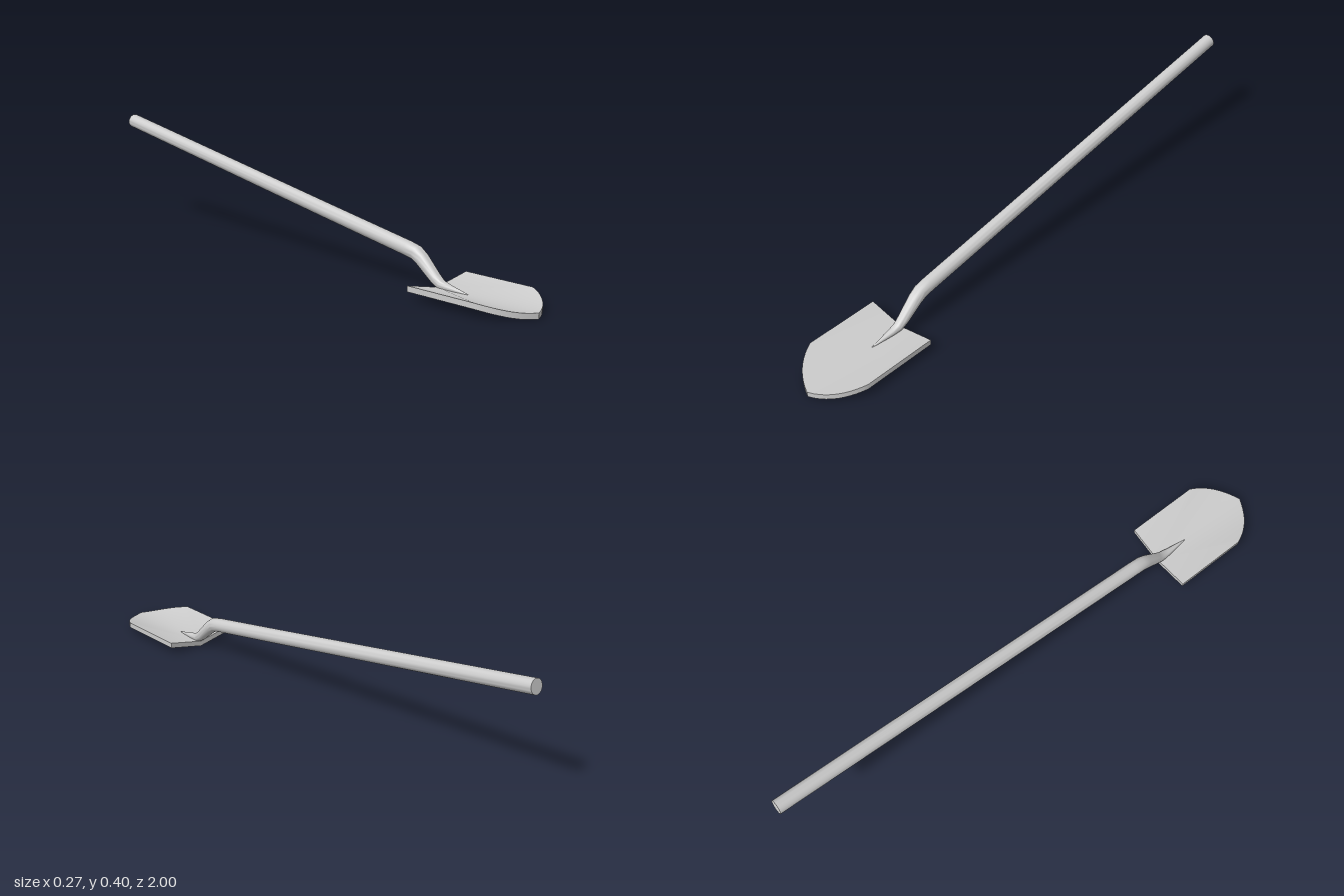
import * as THREE from 'three';
import { toCreasedNormals } from 'three/addons/utils/BufferGeometryUtils.js';

const material = new THREE.MeshStandardMaterial({ color: 0xcccccc });

function makeGeometry(positions, index) {
  const g = new THREE.BufferGeometry();
  g.setAttribute('position', new THREE.Float32BufferAttribute(positions, 3));
  g.setIndex(index);
  return toCreasedNormals(g, 0.7);
}

// Dished plate: a fan from the middle of the back edge, with y rising as x squared
function bladeGeometry() {
  const W = 0.135, thick = 0.019, back = 0.605, shoulder = 0.87;
  const arc = new THREE.QuadraticBezierCurve(
    new THREE.Vector2(W, shoulder), new THREE.Vector2(0.1, 0.96), new THREE.Vector2(0, 1)).getPoints(10);
  const right = [new THREE.Vector2(W, back), ...arc];
  const left = right.slice(0, -1).map(p => new THREE.Vector2(-p.x, p.y));
  const outline = [new THREE.Vector2(0, back), ...left, ...right.reverse()];
  const n = outline.length, pos = [], idx = [];
  for (const lift of [thick, 0])
    for (const p of outline) pos.push(p.x, 0.028 * (p.x / W) ** 2 + lift, p.y);
  for (let i = 0; i < n; i++) {
    const j = (i + 1) % n;
    if (i > 0 && j > 0) idx.push(0, i, j, n, n + j, n + i); // top and underside
    idx.push(i, n + i, j, j, n + i, n + j);                 // rim
  }
  return makeGeometry(pos, idx);
}

// Round sections lofted along stations [z, y, radius]
function loftGeometry(stations, sides = 24) {
  const pos = [], idx = [];
  stations.forEach(([z, y, r], i) => {
    const a = stations[Math.max(i - 1, 0)], b = stations[Math.min(i + 1, stations.length - 1)];
    const here = new THREE.Vector2(z, y);
    const t = new THREE.Vector2();
    for (const [p, q] of [[new THREE.Vector2(a[0], a[1]), here], [here, new THREE.Vector2(b[0], b[1])]])
      t.add(q.clone().sub(p).normalize());
    t.normalize();
    for (let j = 0; j < sides; j++) {
      const ang = j / sides * Math.PI * 2, s = Math.sin(ang) * r;
      pos.push(Math.cos(ang) * r, y + t.x * s, z - t.y * s);
    }
  });
  for (let i = 0; i < stations.length - 1; i++)
    for (let j = 0; j < sides; j++) {
      const k = (j + 1) % sides, a = i * sides, b = a + sides;
      idx.push(a + j, a + k, b + j, b + j, a + k, b + k);
    }
  // flat cap on the grip end
  for (let j = 1; j < sides - 1; j++) idx.push(0, j + 1, j);
  return makeGeometry(pos, idx);
}

export function createModel() {
  const group = new THREE.Group();
  group.name = 'shovel';

  const blade = new THREE.Mesh(bladeGeometry(), material);
  blade.name = 'blade';

  // Long shaft, cranked neck and a tang tapering to a point on the blade
  const handle = new THREE.Mesh(loftGeometry([
    [-0.996, 0.38, 0.025],
    [0.1, 0.187, 0.025],
    [0.48, 0.121, 0.025],
    [0.515, 0.113, 0.0248],
    [0.54, 0.097, 0.0235],
    [0.598, 0.046, 0.019],
    [0.622, 0.03, 0.0165],
    [0.65, 0.025, 0.013],
    [0.735, 0.0185, 0.001],
  ]), material);
  handle.name = 'handle';

  group.add(blade, handle);
  return group;
}
